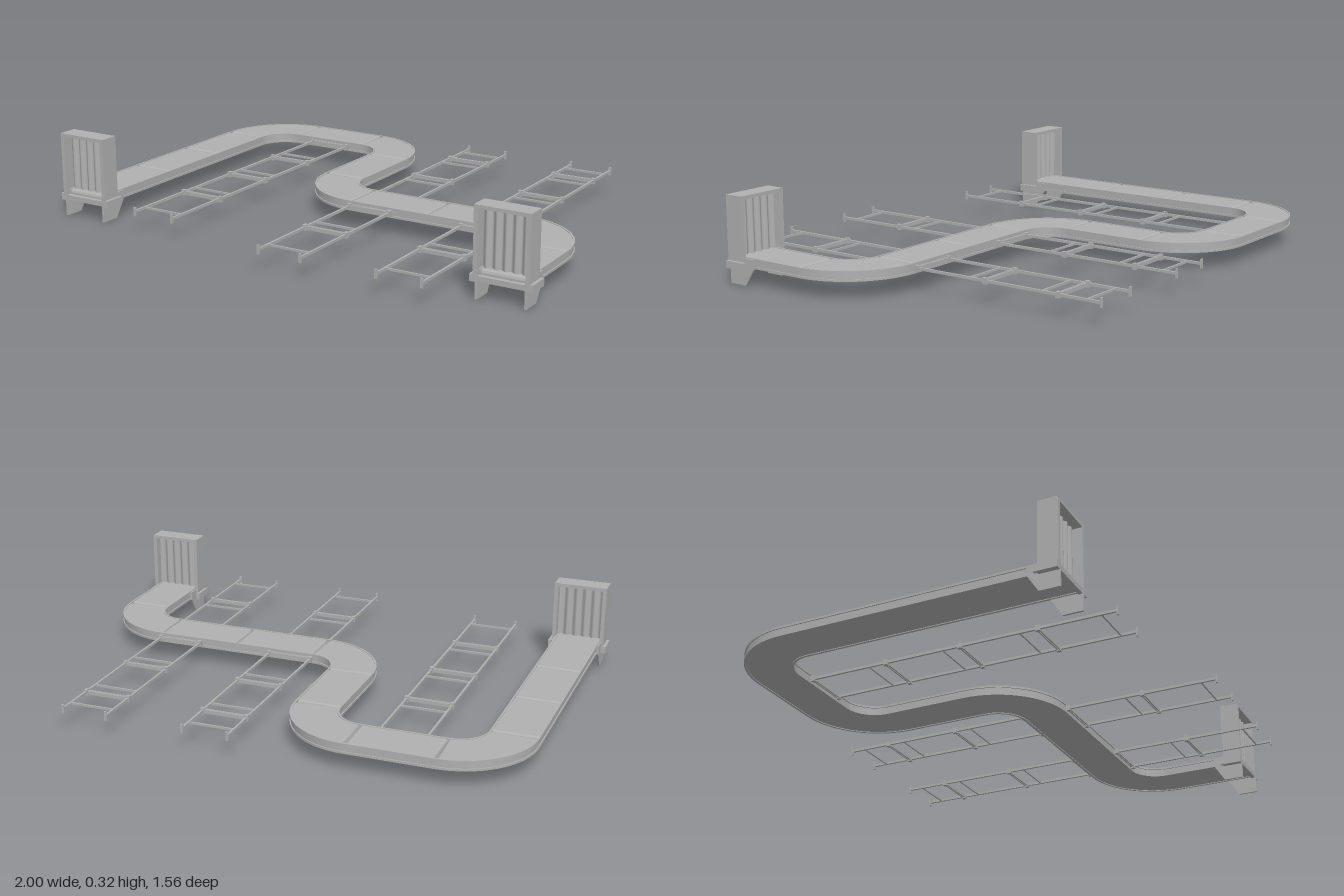
import * as THREE from 'three';
import { toCreasedNormals } from 'three/addons/utils/BufferGeometryUtils.js';

const steel = new THREE.MeshStandardMaterial({ color: 0xb0b0b0, side: THREE.DoubleSide });
steel.name = 'grey steel';

function add(parent, name, geometry) {
  const mesh = new THREE.Mesh(geometry, steel);
  mesh.name = name;
  parent.add(mesh);
  return mesh;
}

// Box given by its extents on each axis
function box(parent, name, x0, x1, y0, y1, z0, z1) {
  const mesh = add(parent, name, new THREE.BoxGeometry(x1 - x0, y1 - y0, z1 - z0));
  mesh.position.set((x0 + x1) / 2, (y0 + y1) / 2, (z0 + z1) / 2);
}

// Centre-line pieces: each maps t (0..1) to a point and a sideways direction on the floor plan
function line(x0, z0, x1, z1) {
  const len = Math.hypot(x1 - x0, z1 - z0);
  const dx = (x1 - x0) / len, dz = (z1 - z0) / len;
  return { steps: 1, len, at: t => ({ x: x0 + dx * len * t, z: z0 + dz * len * t, nx: -dz, nz: dx }) };
}
function arc(cx, cz, r, a0, a1) {
  const s = Math.sign(a1 - a0);
  return {
    steps: 16, len: r * Math.abs(a1 - a0), at: t => {
      const a = a0 + (a1 - a0) * t, c = Math.cos(a), n = Math.sin(a);
      return { x: cx + r * c, z: cz + r * n, nx: -s * c, nz: -s * n };
    }
  };
}

// Sweep a rectangle along one piece; rounded ends dip at the rollers
function sweep(piece, l0, l1, y0, y1, rounded = false) {
  const stations = [];
  for (let i = 0; i <= piece.steps; i++) stations.push([i / piece.steps, 0]);
  if (rounded) {
    const gap = 0.002 / piece.len, a = 0.005 / piece.len, b = 0.012 / piece.len;
    stations[0] = [gap, 0.012];
    stations[piece.steps] = [1 - gap, 0.012];
    stations.push([a, 0.004], [b, 0], [1 - a, 0.004], [1 - b, 0]);
    stations.sort((p, q) => p[0] - q[0]);
  }
  const pos = [], index = [];
  for (const [t, dip] of stations) {
    const p = piece.at(t);
    for (const [l, y] of [[l0, y0], [l1, y0], [l1, y1 - dip], [l0, y1 - dip]])
      pos.push(p.x + p.nx * l, y, p.z + p.nz * l);
  }
  for (let i = 0; i < stations.length - 1; i++) {
    for (let j = 0; j < 4; j++) {
      const a = i * 4 + j, b = i * 4 + (j + 1) % 4;
      index.push(a, a + 4, b + 4, a, b + 4, b);
    }
  }
  const e = (stations.length - 1) * 4;
  index.push(0, 1, 2, 0, 2, 3, e, e + 2, e + 1, e, e + 3, e + 2);
  const g = new THREE.BufferGeometry();
  g.setAttribute('position', new THREE.Float32BufferAttribute(pos, 3));
  g.setIndex(index);
  return toCreasedNormals(g, 0.35);
}

function conveyor() {
  const group = new THREE.Group();
  group.name = 'conveyor';
  const P = Math.PI, X = 0.885;
  const track = [
    line(-X, 0.6, -X, 0.2), line(-X, 0.2, -X, -0.12), line(-X, -0.12, -X, -0.44),
    arc(-0.685, -0.44, 0.2, P, 1.5 * P),
    line(-0.685, -0.64, -0.365, -0.64),
    arc(-0.365, -0.44, 0.2, 1.5 * P, 2 * P),
    line(-0.165, -0.44, -0.165, -0.1125),
    arc(0.035, -0.1125, 0.2, P, 0.5 * P),
    line(0.035, 0.0875, 0.36, 0.0875), line(0.36, 0.0875, 0.685, 0.0875),
    arc(0.685, 0.2875, 0.2, 1.5 * P, 2 * P),
    line(X, 0.2875, X, 0.6),
  ];
  for (const piece of track) {
    add(group, 'belt', sweep(piece, -0.081, 0.081, 0.08, 0.102, true));
    add(group, 'underPan', sweep(piece, -0.08, 0.08, 0.069, 0.08));
    for (const s of [-1, 1]) {
      const rail = (name, a, b, y0, y1) =>
        add(group, name, sweep(piece, Math.min(s * a, s * b), Math.max(s * a, s * b), y0, y1));
      rail('railWeb', 0.081, 0.084, 0.074, 0.096);
      rail('railTopLip', 0.081, 0.088, 0.096, 0.104);
      rail('railBottomLip', 0.079, 0.088, 0.066, 0.074);
    }
  }
  return group;
}

// Portal with a wavy strip curtain, standing on two side plates
function portal(x) {
  const group = new THREE.Group();
  group.name = 'portal';
  group.position.x = x;
  const legShape = new THREE.Shape([[-0.615, 0], [-0.54, 0], [-0.497, 0.066], [-0.497, 0.1], [-0.615, 0.1]]
    .map(p => new THREE.Vector2(...p)));
  for (const s of [-1, 1]) {
    const side = (name, a, b, ...rest) =>
      box(group, name, Math.min(s * a, s * b), Math.max(s * a, s * b), ...rest);
    side('portalSide', 0.088, 0.103, 0.06, 0.325, 0.54, 0.615);
    side('sideFlange', 0.103, 0.115, 0.06, 0.087, 0.53, 0.615);
    const leg = add(group, 'legPlate', new THREE.ExtrudeGeometry(legShape, { depth: 0.008, bevelEnabled: false }));
    leg.rotation.y = Math.PI / 2;
    leg.position.x = s * 0.09 - 0.004;
  }
  box(group, 'portalTop', -0.103, 0.103, 0.312, 0.325, 0.54, 0.615);
  box(group, 'frontSill', -0.103, 0.103, 0.062, 0.082, 0.596, 0.613);

  const curtain = new THREE.PlaneGeometry(0.176, 0.21, 48, 1);
  const p = curtain.attributes.position;
  for (let i = 0; i < p.count; i++) p.setZ(i, 0.006 * Math.cos(p.getX(i) / 0.176 * Math.PI * 10));
  curtain.computeVertexNormals();
  add(group, 'stripCurtain', curtain).position.set(0, 0.207, 0.578);
  return group;
}

// Ladder-like side frame: two rails, thin rungs, and doubled rungs with joint posts
function ladder(x, z0, z1, thin, joints, posts) {
  const group = new THREE.Group();
  group.name = 'ladderFrame';
  group.position.x = x;
  const w = 0.086;
  for (const s of [-1, 1]) {
    box(group, 'ladderRail', s * w - 0.004, s * w + 0.004, 0.08, 0.09, z0, z1);
    for (const z of posts) box(group, 'endPost', s * w - 0.005, s * w + 0.005, 0.068, 0.102, z - 0.003, z + 0.003);
    for (const z of joints) box(group, 'jointPost', s * w - 0.007, s * w + 0.007, 0.074, 0.096, z - 0.008, z + 0.008);
  }
  for (const z of thin) box(group, 'rung', -w, w, 0.081, 0.089, z - 0.003, z + 0.003);
  for (const z of joints) {
    for (const d of [-0.004, 0.004]) box(group, 'jointRung', -w, w, 0.078, 0.092, z + d - 0.0025, z + d + 0.0025);
  }
  return group;
}

export function createModel() {
  const model = new THREE.Group();
  model.name = 'conveyorLine';
  model.add(conveyor(), portal(-0.885), portal(0.885));
  model.add(ladder(-0.518, -0.55, 0.657, [-0.31, -0.01, 0.29, 0.595], [-0.545, -0.24, 0.06, 0.36], [0.654]));
  for (const x of [0.125, 0.596]) {
    model.add(ladder(x, -0.78, 0, [-0.72, -0.54, -0.24], [-0.608, -0.305, -0.008], [-0.777]));
    model.add(ladder(x, 0.175, 0.777, [0.413, 0.713], [0.183, 0.482], [0.774]));
  }
  return model;
}
